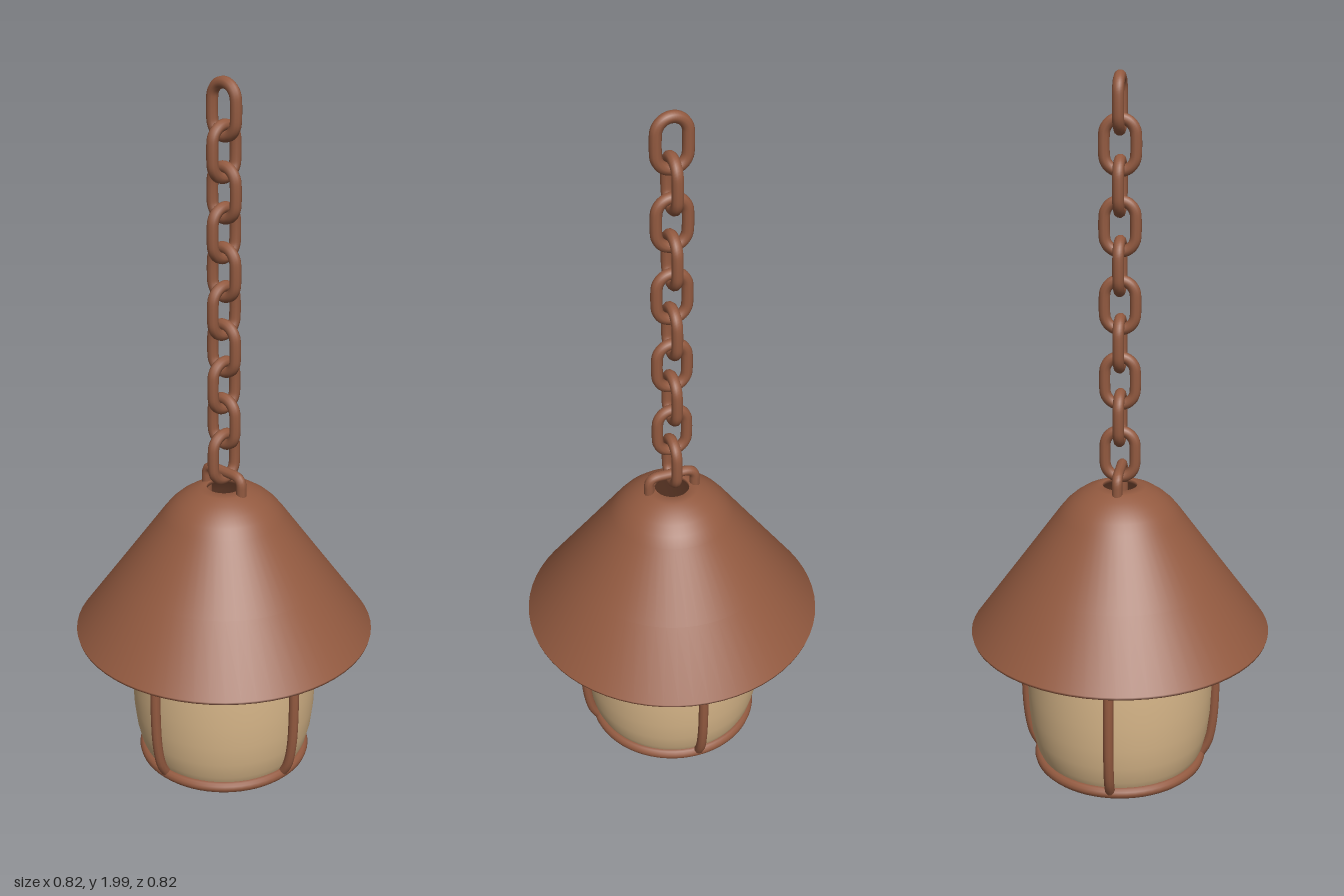
import * as THREE from 'three';

const V = (x, y, z = 0) => new THREE.Vector3(x, y, z);

export function createModel() {
  const lantern = new THREE.Group();
  lantern.name = 'hangingLantern';
  const rust = new THREE.MeshStandardMaterial({ color: 0x935a40, side: THREE.DoubleSide });
  rust.name = 'rustyMetal';
  const tan = new THREE.MeshStandardMaterial({ color: 0xd6b588, side: THREE.DoubleSide });
  tan.name = 'tanShade';

  const add = (name, geometry, material) => {
    const mesh = new THREE.Mesh(geometry, material);
    mesh.name = name;
    lantern.add(mesh);
    return mesh;
  };
  const lathe = (points, segments = 64) =>
    new THREE.LatheGeometry(points.map(([r, y]) => new THREE.Vector2(r, y)), segments);

  // Conical roof: thin shell, rounded crown, small hole for the chain
  add('roof', lathe([
    [0.4, 0.485], [0.41, 0.485], [0.412, 0.493], [0.29, 0.662], [0.168, 0.832], [0.148, 0.857],
    [0.125, 0.878], [0.098, 0.896], [0.07, 0.908], [0.047, 0.913], [0.047, 0.902],
    [0.07, 0.898], [0.1, 0.884], [0.13, 0.86], [0.155, 0.83], [0.28, 0.655], [0.4, 0.485],
  ]), rust);

  // Barrel shade, closed by a shallow bowl below and a dome hidden under the roof
  add('shade', lathe([
    [0, 0.006], [0.06, 0.008], [0.11, 0.016], [0.155, 0.032], [0.195, 0.06], [0.22, 0.09],
    [0.238, 0.13], [0.25, 0.18], [0.257, 0.24], [0.26, 0.31], [0.259, 0.4], [0.252, 0.49],
    [0.24, 0.57], [0.215, 0.64], [0.17, 0.695], [0.1, 0.73], [0, 0.742],
  ]), tan);

  // Ring around the foot of the shade
  const ring = add('lowerRing', new THREE.TorusGeometry(0.228, 0.016, 12, 64), rust);
  ring.rotation.x = Math.PI / 2;
  ring.position.y = 0.095;

  // Four bowed ribs
  const ribPath = new THREE.CatmullRomCurve3([
    V(0.228, 0.095), V(0.25, 0.135), V(0.263, 0.2), V(0.268, 0.3),
    V(0.266, 0.4), V(0.258, 0.49), V(0.244, 0.57), V(0.222, 0.63),
  ]);
  const ribGeometry = new THREE.TubeGeometry(ribPath, 32, 0.014, 10);
  for (let i = 0; i < 4; i++) {
    add('rib' + (i + 1), ribGeometry, rust).rotation.y = i * Math.PI / 2;
  }

  // Staple on the crown that holds the chain
  const staplePath = new THREE.CurvePath();
  staplePath.add(new THREE.LineCurve3(V(-0.065, 0.87), V(-0.065, 0.93)));
  staplePath.add(new THREE.QuadraticBezierCurve3(V(-0.065, 0.93), V(-0.065, 0.956), V(-0.035, 0.956)));
  staplePath.add(new THREE.LineCurve3(V(-0.035, 0.956), V(0.035, 0.956)));
  staplePath.add(new THREE.QuadraticBezierCurve3(V(0.035, 0.956), V(0.065, 0.956), V(0.065, 0.93)));
  staplePath.add(new THREE.LineCurve3(V(0.065, 0.93), V(0.065, 0.87)));
  add('staple', new THREE.TubeGeometry(staplePath, 48, 0.014, 10), rust);

  // Chain of stadium-shaped links, alternately turned by a quarter
  const linkPoints = [];
  for (let i = 0; i < 24; i++) {
    const a = (i + 0.5) / 24 * Math.PI * 2;
    linkPoints.push(V(0.04 * Math.cos(a), 0.04 * Math.sin(a) + Math.sign(Math.sin(a)) * 0.025));
  }
  const linkPath = new THREE.CatmullRomCurve3(linkPoints, true);
  const linkGeometry = new THREE.TubeGeometry(linkPath, 64, 0.015, 10, true);
  for (let i = 0; i < 10; i++) {
    const link = add('chainLink' + (i + 1), linkGeometry, rust);
    link.position.y = 1.92 - i * 0.1022;
    link.rotation.y = (i % 2) * Math.PI / 2;
  }
  return lantern;
}
